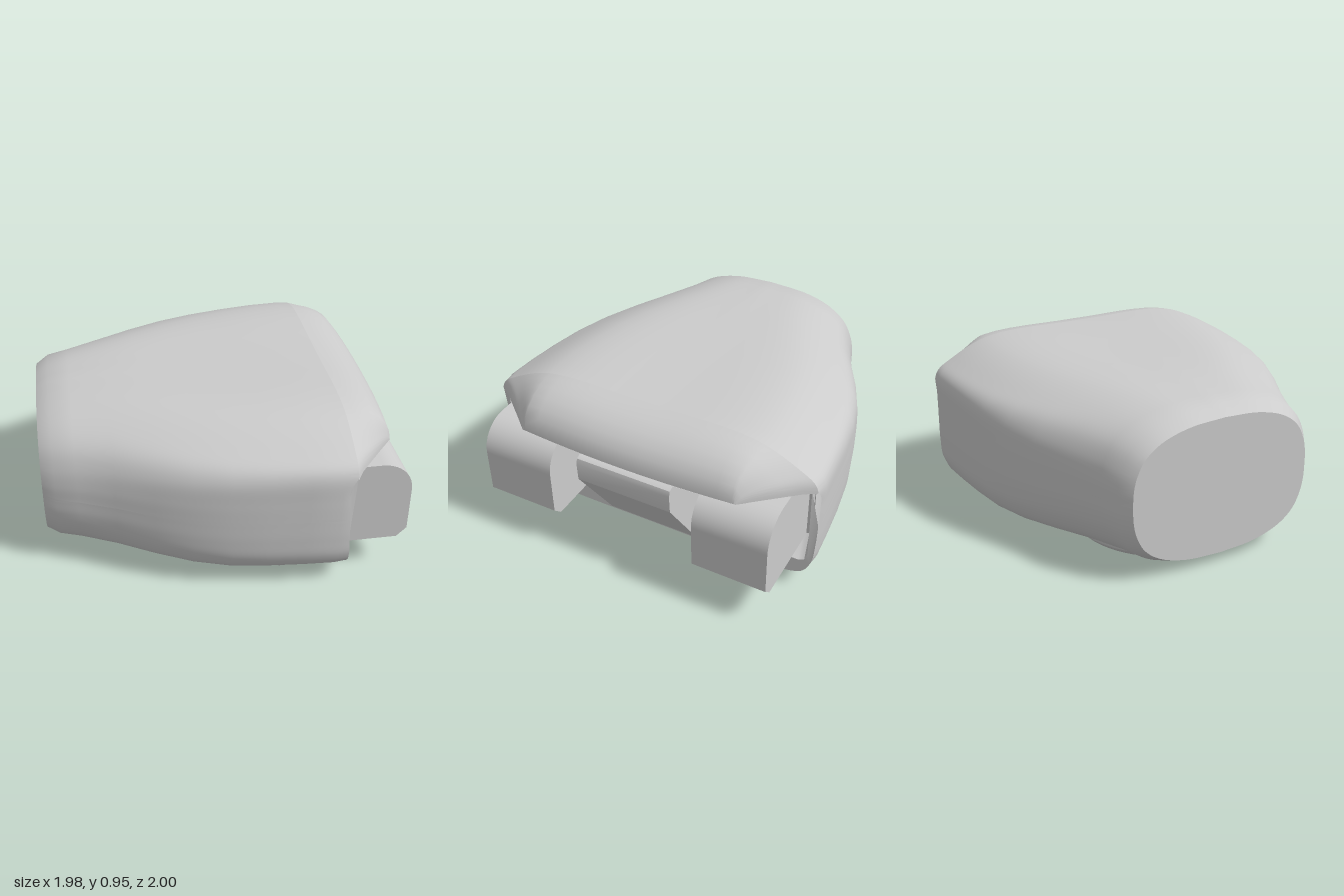
import * as THREE from 'three';
import { toCreasedNormals } from 'three/addons/utils/BufferGeometryUtils.js';

const material = new THREE.MeshStandardMaterial({ color: 0xcccccc, side: THREE.DoubleSide });
const SEAM = 0.465, HOOD = 0.72;

function add(group, name, geometry, crease = 0.5) {
  const mesh = new THREE.Mesh(toCreasedNormals(geometry, crease), material);
  mesh.name = name;
  group.add(mesh);
  return mesh;
}

// Surface through rows of [x, y, z] points
function loft(rows) {
  const n = rows[0].length, index = [];
  for (let i = 0; i < rows.length - 1; i++)
    for (let j = 0; j < n - 1; j++) {
      const a = i * n + j, b = a + n;
      index.push(a, a + 1, b, b, a + 1, b + 1);
    }
  const g = new THREE.BufferGeometry();
  g.setAttribute('position', new THREE.Float32BufferAttribute(rows.flat(2), 3));
  g.setIndex(index);
  g.computeVertexNormals();
  return g;
}

// Stations along the body: x, half width, top, bottom, blend from oval to boxy section
const stations = [
  [-0.99, 0.54, 0.85, 0.065, 0], [-0.92, 0.59, 0.895, 0.035, 0], [-0.8, 0.625, 0.91, 0.032, 0.08],
  [-0.6, 0.71, 0.93, 0.035, 0.25], [-0.4, 0.81, 0.937, 0.04, 0.45], [-0.2, 0.89, 0.94, 0.045, 0.65],
  [0, 0.94, 0.942, 0.055, 0.82], [0.2, 0.967, 0.946, 0.07, 0.93], [0.4, 0.985, 0.95, 0.08, 1],
  [0.56, 0.998, 0.95, 0.083, 1], [0.64, 0.99, 0.949, 0.085, 1],
];
// Half sections as [share of half width, share of height from the seam]
const oval = [[1, 0], [0.995, 0.2], [0.96, 0.42], [0.87, 0.65], [0.7, 0.83], [0.4, 0.96], [0, 1]];
const boxyTop = [[1, 0], [1, 0.25], [0.995, 0.526], [0.97, 0.64], [0.9, 0.74], [0.64, 0.97], [0, 1]];
const boxyBottom = [[1, 0], [0.997, 0.35], [0.985, 0.65], [0.94, 0.87], [0.85, 0.96], [0.5, 1], [0, 1]];

// x of the open end of the shell at height y
const edgeX = (y) => y >= HOOD ? 0.64
  : 0.64 - 0.075 * (y - 0.085) + 0.045 * Math.max(0, (y - 0.62) / 0.1) ** 2;

// Mirrored half section from +z over the middle to -z
function section([x, w, top, bottom, k], upper) {
  const boxy = upper ? boxyTop : boxyBottom, height = (upper ? top : bottom) - SEAM;
  const knots = oval.map(([z, y], i) => new THREE.Vector3(0,
    SEAM + height * THREE.MathUtils.lerp(y, boxy[i][1], k), w * THREE.MathUtils.lerp(z, boxy[i][0], k)));
  const half = new THREE.CatmullRomCurve3(knots).getPoints(36)
    .map((p) => [x === 0.64 ? edgeX(p.y) : x, p.y, p.z]);
  return [...half, ...half.slice(0, -1).reverse().map(([a, b, c]) => [a, b, -c])];
}

function shapeOf(points) {
  return new THREE.Shape(points.map(([a, b]) => new THREE.Vector2(a, b)));
}

// Side profile in x, y extruded across z and centred on z
function slab(profile, width, z) {
  return new THREE.ExtrudeGeometry(profile, { depth: width, bevelEnabled: false, curveSegments: 14 })
    .translate(0, 0, z - width / 2);
}

export function createModel() {
  const model = new THREE.Group();
  model.name = 'device';

  // Upper and lower shells meet at the seam
  const upperRows = stations.map((s) => section(s, true));
  const lowerRows = stations.map((s) => section(s, false));
  add(model, 'upperShell', loft(upperRows));
  add(model, 'lowerShell', loft(lowerRows.map((r) => [...r].reverse())));

  // Flat narrow end
  const cap = shapeOf([...upperRows[0], ...[...lowerRows[0]].reverse()].map((p) => [p[2], p[1]]));
  add(model, 'endCap', new THREE.ShapeGeometry(cap).rotateY(-Math.PI / 2).translate(-0.99, 0, 0));

  // Hood over the open end: x, half width, top
  const last = upperRows.at(-1).filter((p) => p[1] >= HOOD - 0.012);
  const hoodRows = [[0.64, 0.99, 0.949], [0.68, 0.925, 0.942], [0.74, 0.852, 0.928], [0.8, 0.78, 0.9],
    [0.85, 0.72, 0.862], [0.885, 0.68, 0.815], [0.905, 0.655, 0.765], [0.91, 0.65, 0.722]]
    .map(([x, w, top]) => last.map(([, y, z]) => {
      const a = Math.abs(z), b = a < 0.63 ? a : 0.63 + (a - 0.63) * (w - 0.63) / 0.36;
      const bulge = 0.03 * Math.max(0, 1 - (b / 0.66) ** 2) * (x - 0.64) / 0.27;
      return [x + bulge, HOOD + Math.max(0, y - HOOD) * (top - HOOD) / 0.229, Math.sign(z) * b];
    }));
  add(model, 'hood', loft(hoodRows));
  const under = hoodRows.map((r) => r.map(([x, , z]) => [x, HOOD, z]));
  under.unshift(under[0].map(([, y, z]) => [0.4, y, z * 0.94]));
  add(model, 'hoodUnderside', loft(under.map((r) => [...r].reverse())));

  // Open end: rim, inner walls and back wall, with a raised collar in the middle
  const halfInner = [[0.95, HOOD], [0.95, 0.26], [0.935, 0.215], [0.9, 0.2], [0.41, 0.2], [0.37, 0.21],
    [0.355, 0.24], [0.35, 0.34], [0.34, 0.365], [0.31, 0.37], [0.28, 0.37]];
  const inner = [...halfInner, ...[...halfInner].reverse().map(([z, y]) => [-z, y])];
  const outer = [...upperRows.at(-1).filter((p, i) => i < 36 && p[1] < HOOD).reverse(),
    ...lowerRows.at(-1), ...upperRows.at(-1).filter((p, i) => i > 36 && p[1] < HOOD)];
  const rim = new THREE.ShapeGeometry(shapeOf(
    [...outer.map((p) => [-p[2], p[1]]), ...[...inner].reverse().map(([z, y]) => [-z, y])]))
    .rotateY(Math.PI / 2);
  const pos = rim.attributes.position;
  for (let i = 0; i < pos.count; i++) pos.setX(i, edgeX(pos.getY(i)));
  rim.computeVertexNormals();
  add(model, 'rim', rim);
  add(model, 'innerWalls', loft([
    inner.map(([z, y]) => [edgeX(y), y, z]),
    inner.map(([z, y]) => [0.42, y, z * 0.94]),
  ]));
  add(model, 'backWall', new THREE.PlaneGeometry(1.8, 0.54).rotateY(Math.PI / 2).translate(0.43, 0.455, 0));

  // Two protruding blocks with rounded upper edge
  const block = new THREE.Shape();
  block.moveTo(0.44, 0.215);
  block.lineTo(0.93, 0.215);
  block.lineTo(0.985, 0.27);
  block.lineTo(0.985, 0.53);
  block.bezierCurveTo(0.985, 0.63, 0.91, 0.705, 0.81, 0.708);
  block.lineTo(0.44, 0.708);
  for (const side of [1, -1])
    add(model, side > 0 ? 'leftBlock' : 'rightBlock', slab(block, 0.43, side * 0.652));

  // Central wedge with a sloping underside
  const wedge = shapeOf([[0.45, 0.09], [0.64, 0.09], [0.935, 0.53], [0.94, 0.64], [0.93, 0.67],
    [0.91, 0.68], [0.45, 0.68]]);
  add(model, 'centreWedge', slab(wedge, 0.57, 0));

  // Round foot ring and its recessed disc
  const foot = new THREE.Group();
  foot.name = 'foot';
  foot.position.set(-0.39, 0.013, 0);
  foot.rotation.z = -0.018;
  model.add(foot);
  const footProfile = [[0, 0.02], [0.41, 0.02], [0.415, 0], [0.49, 0], [0.51, 0.008], [0.54, 0.04], [0.56, 0.12]];
  add(foot, 'footRing', new THREE.LatheGeometry(footProfile.map(([r, y]) => new THREE.Vector2(r, y)), 72));

  // Grip pad underneath, hollowed around the foot
  const corner = [[0.57, 0.81], [0.55, 0.83], [0.28, 0.83], [0.22, 0.79], [0.13, 0.53], [0.09, 0.46]];
  const arc = Array.from({ length: 15 }, (_, i) => {
    const a = 0.8 - i * 1.6 / 14;
    return [-0.39 + 0.53 * Math.cos(a), 0.53 * Math.sin(a)];
  });
  const pad = shapeOf([...corner, ...arc, ...[...corner].reverse().map(([x, z]) => [x, -z])]);
  add(model, 'gripPad', new THREE.ExtrudeGeometry(pad, { depth: 0.03, bevelThickness: 0.01, bevelSize: 0.012,
    bevelSegments: 2 }).rotateX(Math.PI / 2).translate(0, 0.097, 0));

  return model;
}
